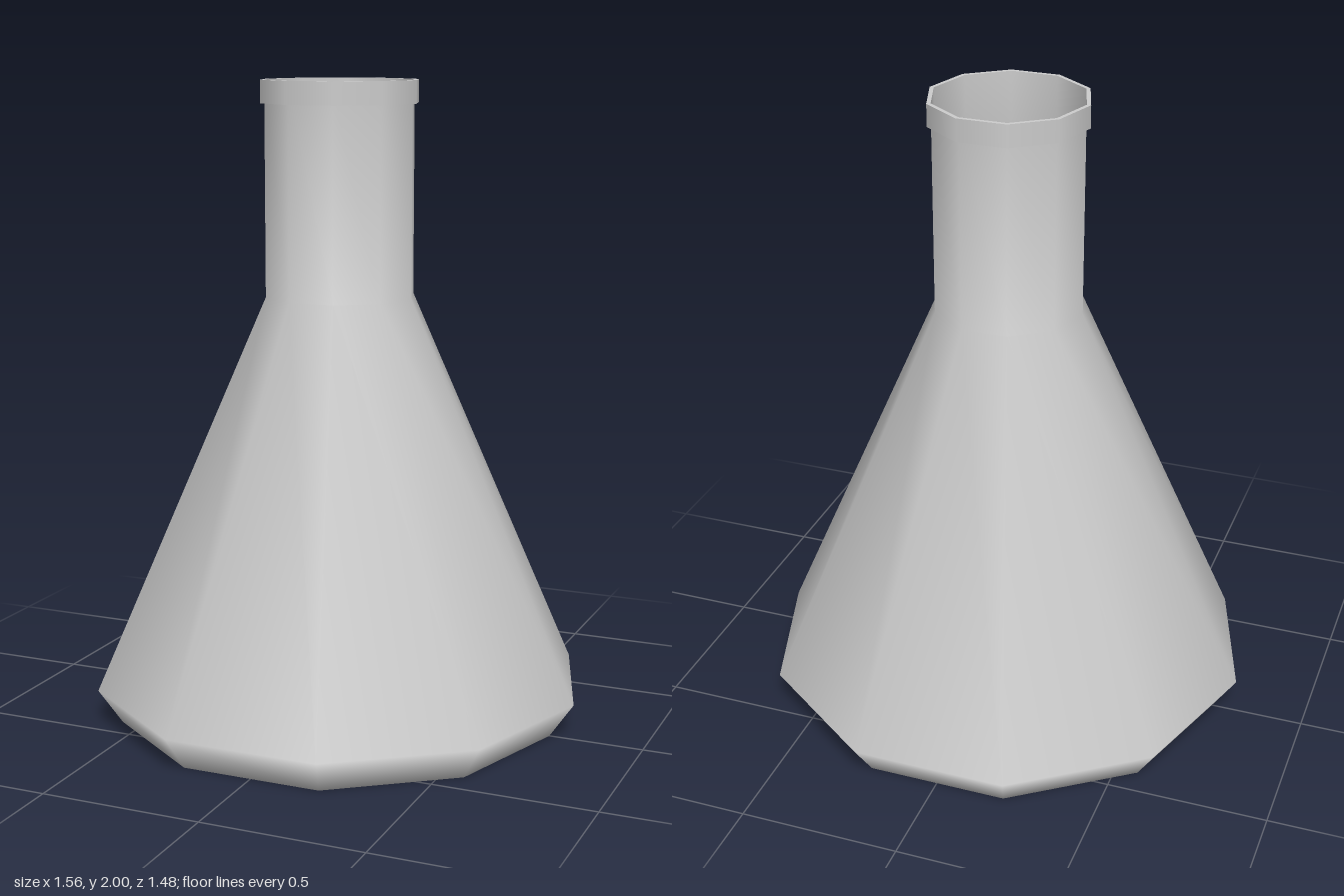
import * as THREE from 'three';

const SIDES = 10;

// Ten-sided turned part with corners on the x axis
function turned(name, profile, material) {
  const points = profile.map(([r, y]) => new THREE.Vector2(r, y));
  const mesh = new THREE.Mesh(new THREE.LatheGeometry(points, SIDES, Math.PI / 2), material);
  mesh.name = name;
  return mesh;
}

export function createModel() {
  const group = new THREE.Group();
  group.name = 'conicalFlask';
  const glass = new THREE.MeshStandardMaterial({ color: 0xcccccc, side: THREE.DoubleSide });

  // Closed base, chamfer, cone and open neck
  group.add(turned('flaskBody', [
    [0, 0], [0.705, 0], [0.78, 0.11], [0.235, 1.34], [0.235, 1.99],
  ], glass));

  // Thin collar round the mouth, each face its own strip for crisp edges
  const lip = new THREE.Group();
  lip.name = 'lip';
  lip.add(
    turned('lipUnderside', [[0.235, 1.93], [0.248, 1.93]], glass),
    turned('lipOuter', [[0.248, 1.93], [0.248, 2]], glass),
    turned('lipTop', [[0.248, 2], [0.235, 2]], glass),
    turned('lipInner', [[0.235, 2], [0.235, 1.99]], glass),
  );
  group.add(lip);
  return group;
}
